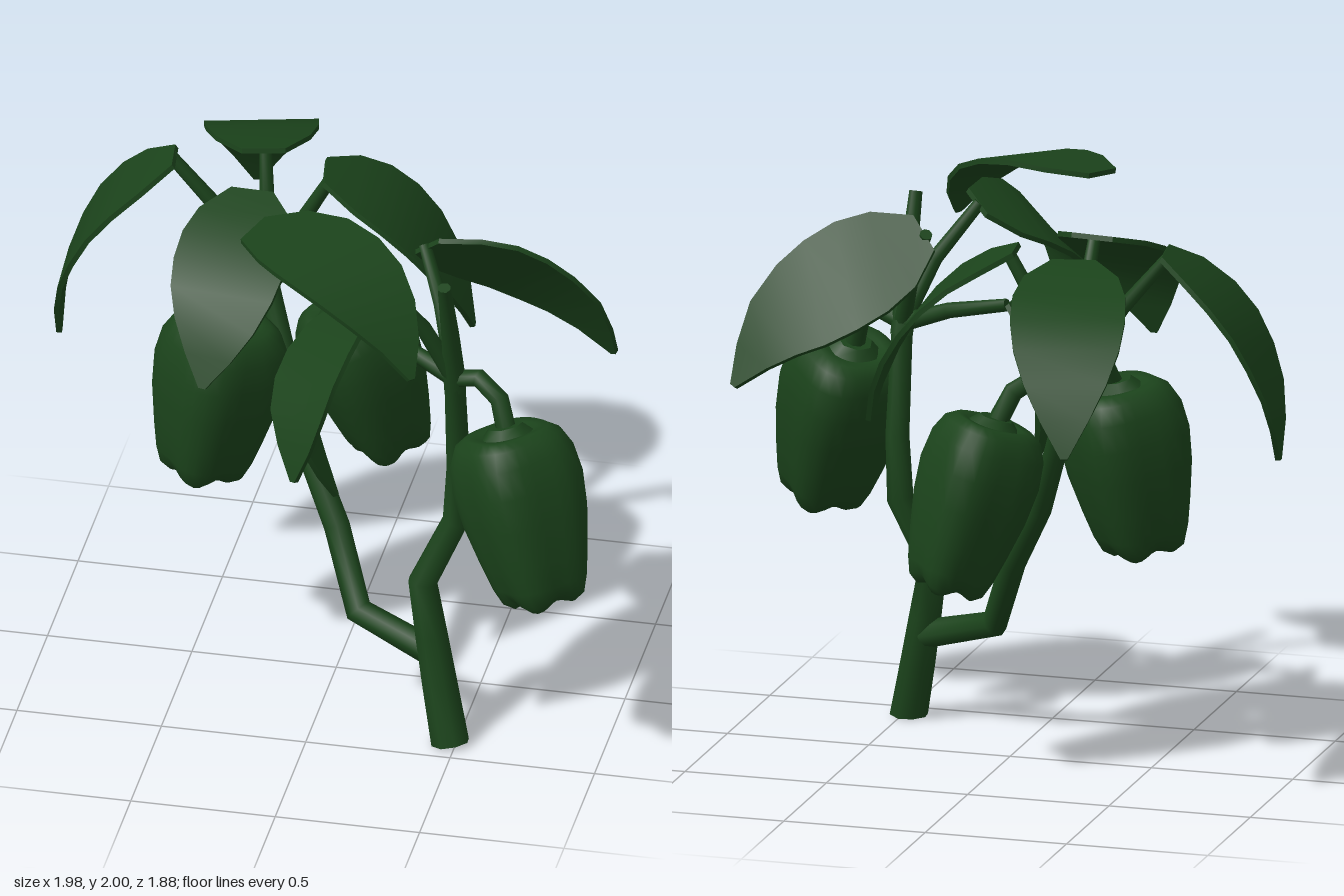
import * as THREE from 'three';
import { toCreasedNormals } from 'three/addons/utils/BufferGeometryUtils.js';

const V = (p) => new THREE.Vector3(...p);

// Skin a list of closed rings (each ring an array of Vector3)
function loft(rings) {
  const n = rings[0].length, pos = [], idx = [];
  rings.forEach((ring) => ring.forEach((p) => pos.push(p.x, p.y, p.z)));
  for (let i = 0; i < rings.length - 1; i++) {
    for (let j = 0; j < n; j++) {
      const a = i * n + j, b = i * n + (j + 1) % n;
      idx.push(a, b, a + n, b, b + n, a + n);
    }
  }
  const g = new THREE.BufferGeometry();
  g.setAttribute('position', new THREE.Float32BufferAttribute(pos, 3));
  g.setIndex(idx);
  g.computeVertexNormals();
  return g;
}

// Tapered eight-sided stem through points, with closed ends
function stemGeometry(points, radii) {
  const pts = points.map(V), last = pts.length - 1;
  const u = new THREE.Vector3(1, 0, 0.3), rings = [];
  pts.forEach((p, i) => {
    const t = new THREE.Vector3();
    if (i > 0) t.add(p.clone().sub(pts[i - 1]).normalize());
    if (i < last) t.add(pts[i + 1].clone().sub(p).normalize());
    t.normalize();
    u.addScaledVector(t, -u.dot(t)).normalize();
    const v = t.clone().cross(u);
    const r = radii[0] + (radii[1] - radii[0]) * i / last;
    const ring = (rad) => Array.from({ length: 8 }, (_, k) => {
      const a = k * Math.PI / 4;
      const q = p.clone().addScaledVector(u, rad * Math.cos(a)).addScaledVector(v, rad * Math.sin(a));
      q.y = Math.max(0, q.y);
      return q;
    });
    if (i === 0) rings.push(ring(0), ring(r));
    rings.push(ring(r));
    if (i === last) rings.push(ring(r), ring(0));
  });
  return loft(rings);
}

// Thin solid leaf blade following a midrib, widened along a side direction
function leafGeometry(path, side, width) {
  const curve = new THREE.CatmullRomCurve3(path.map(V)), s0 = V(side), half = 0.009;
  const outline = [0.38, 0.82, 0.98, 1, 0.92, 0.72, 0.42, 0.06], last = outline.length - 1;
  const rings = [];
  outline.forEach((w, i) => {
    const p = curve.getPointAt(i / last), t = curve.getTangentAt(i / last);
    const s = s0.clone().addScaledVector(t, -s0.dot(t)).normalize();
    const up = t.clone().cross(s);
    const ring = [[-1, -1], [1, -1], [1, 1], [-1, 1]].map(([a, b]) =>
      p.clone().addScaledVector(s, a * w * width / 2).addScaledVector(up, b * half));
    const centre = ring.map(() => p.clone());
    if (i === 0) rings.push(centre);
    rings.push(ring);
    if (i === last) rings.push(centre);
  });
  return toCreasedNormals(loft(rings), 0.7);
}

// Four-lobed fruit hanging from the origin down -y: [depth, radius, lobe strength]
function pepperGeometry(length, size) {
  const profile = [
    [0.05, 0, 0], [0.04, 0.06, 0], [0.005, 0.11, 0.03], [0.0, 0.145, 0.05], [0.04, 0.182, 0.06],
    [0.14, 0.21, 0.07], [0.3, 0.22, 0.08], [0.5, 0.209, 0.08], [0.72, 0.182, 0.08],
    [0.88, 0.158, 0.09], [0.96, 0.135, 0.1], [1.0, 0.1, 0.1], [0.97, 0.045, 0.06], [0.94, 0, 0],
  ];
  return loft(profile.map(([d, r, lobe]) => Array.from({ length: 32 }, (_, k) => {
    const a = k * Math.PI / 16, c = Math.cos(4 * a);
    const rad = r * size * (1 + lobe * c);
    const y = -length * (d + (d > 0.9 && r > 0 ? 0.02 * c : 0));
    return new THREE.Vector3(rad * Math.cos(a), y, rad * Math.sin(a));
  })));
}

export function createModel() {
  const model = new THREE.Group();
  const green = new THREE.MeshStandardMaterial({ color: 0x1b431b });
  green.name = 'plantGreen';
  const add = (name, geometry, parent = model) => {
    const mesh = new THREE.Mesh(geometry, green);
    mesh.name = name;
    parent.add(mesh);
    return mesh;
  };

  // Main stem, side branch and bare shoot
  const A = [0.48, 1.4, 0.33], B = [-0.28, 1.4, -0.19];
  add('mainStem', stemGeometry([[0.48, 0, 0.405], [0.435, 0.2, 0.36], [0.4, 0.38, 0.335],
    [0.365, 0.57, 0.31], [0.47, 0.8, 0.27], [0.48, 1.02, 0.27], A], [0.067, 0.036]));
  add('sideBranch', stemGeometry([[0.4, 0.31, 0.335], [0.13, 0.39, 0.25], [0.03, 0.64, 0.13],
    [-0.1, 0.87, 0.01], [-0.19, 1.12, -0.09], B], [0.05, 0.036]));
  add('bareShoot', stemGeometry([[0.48, 1.36, 0.32], [0.475, 1.6, 0.38], [0.47, 1.83, 0.455]], [0.04, 0.023]));

  // Leaf stalks
  const stalks = [
    [B, [-0.45, 1.66, -0.18], [-0.61, 1.85, -0.17]],
    [B, [-0.29, 1.65, -0.1], [-0.29, 1.84, 0.03]],
    [B, [-0.29, 1.65, -0.24], [-0.31, 1.83, -0.31]],
    [B, [-0.18, 1.6, -0.19], [-0.05, 1.83, -0.19]],
    [A, [0.41, 1.62, 0.22], [0.33, 1.78, 0.11]],
    [A, [0.38, 1.62, 0.38], [0.24, 1.81, 0.44]],
    [A, [0.3, 1.47, 0.28], [0.08, 1.52, 0.23]],
  ];
  stalks.forEach((p) => add('leafStalk', stemGeometry(p, [0.032, 0.022])));

  // Leaves: midrib, side direction, width
  const leaves = [
    [[[-0.59, 1.86, -0.15], [-0.72, 1.77, -0.13], [-0.86, 1.62, -0.12], [-0.97, 1.36, -0.11], [-0.98, 1.15, -0.1]], [0.06, 0, 1], 0.38],
    [[[-0.29, 1.85, 0.0], [-0.3, 1.78, 0.2], [-0.32, 1.63, 0.42], [-0.35, 1.38, 0.54]], [1, 0, 0.1], 0.39],
    [[[-0.31, 1.84, -0.28], [-0.36, 1.79, -0.5], [-0.41, 1.69, -0.7], [-0.45, 1.5, -0.86], [-0.47, 1.33, -0.93]], [0.97, 0, -0.24], 0.39],
    [[[-0.08, 1.84, -0.19], [0.1, 1.75, -0.22], [0.25, 1.61, -0.25], [0.37, 1.4, -0.28], [0.41, 1.23, -0.3]], [0.08, 0, 1], 0.42],
    [[[-0.2, 1.955, 0.42], [0, 1.97, 0.5], [0.2, 1.92, 0.62], [0.35, 1.8, 0.73], [0.43, 1.67, 0.81]], [-0.5, -0.1, 0.85], 0.39],
    [[[0.06, 1.54, 0.21], [-0.03, 1.43, 0.21], [-0.06, 1.25, 0.22], [-0.04, 1.03, 0.23], [0.05, 0.83, 0.24]], [0.12, 0, 1], 0.33],
    [[[0.34, 1.78, 0.12], [0.6, 1.63, -0.03], [0.8, 1.47, -0.1], [0.93, 1.27, -0.16]], [0.35, 0.7, 0.55], 0.4],
    [[[0.25, 1.81, 0.44], [0.12, 1.72, 0.65], [0.05, 1.55, 0.83], [0.05, 1.29, 0.93]], [0.75, 0.5, 0.4], 0.36],
  ];
  leaves.forEach(([path, side, width]) => add('leaf', leafGeometry(path, side, width)));

  // Peppers: top, bottom, size, stalk bend points
  const peppers = [
    [[-0.37, 1.335, 0.01], [-0.46, 0.75, 0.05], 0.97, [B, [-0.3, 1.47, -0.11], [-0.34, 1.43, -0.04]]],
    [[-0.03, 1.25, -0.28], [0.12, 0.68, -0.37], 0.9, [B, [-0.18, 1.42, -0.22], [-0.09, 1.36, -0.26]]],
    [[0.68, 1.275, 0.43], [0.84, 0.7, 0.56], 0.97, [A, [0.57, 1.43, 0.36], [0.65, 1.38, 0.4]]],
  ];
  peppers.forEach(([top, bottom, size, bend]) => {
    const axis = V(bottom).sub(V(top));
    const fruit = new THREE.Group();
    fruit.name = 'pepper';
    fruit.position.copy(V(top));
    fruit.quaternion.setFromUnitVectors(new THREE.Vector3(0, -1, 0), axis.clone().normalize());
    model.add(fruit);
    add('pepperBody', pepperGeometry(axis.length(), size), fruit);
    // Small green cap where the stalk meets the fruit
    add('calyx', new THREE.CylinderGeometry(0.06, 0.1, 0.04, 7), fruit);
    const end = V(top).addScaledVector(axis, 0.05).toArray();
    add('pepperStalk', stemGeometry([...bend, end], [0.03, 0.036]));
  });

  return model;
}
